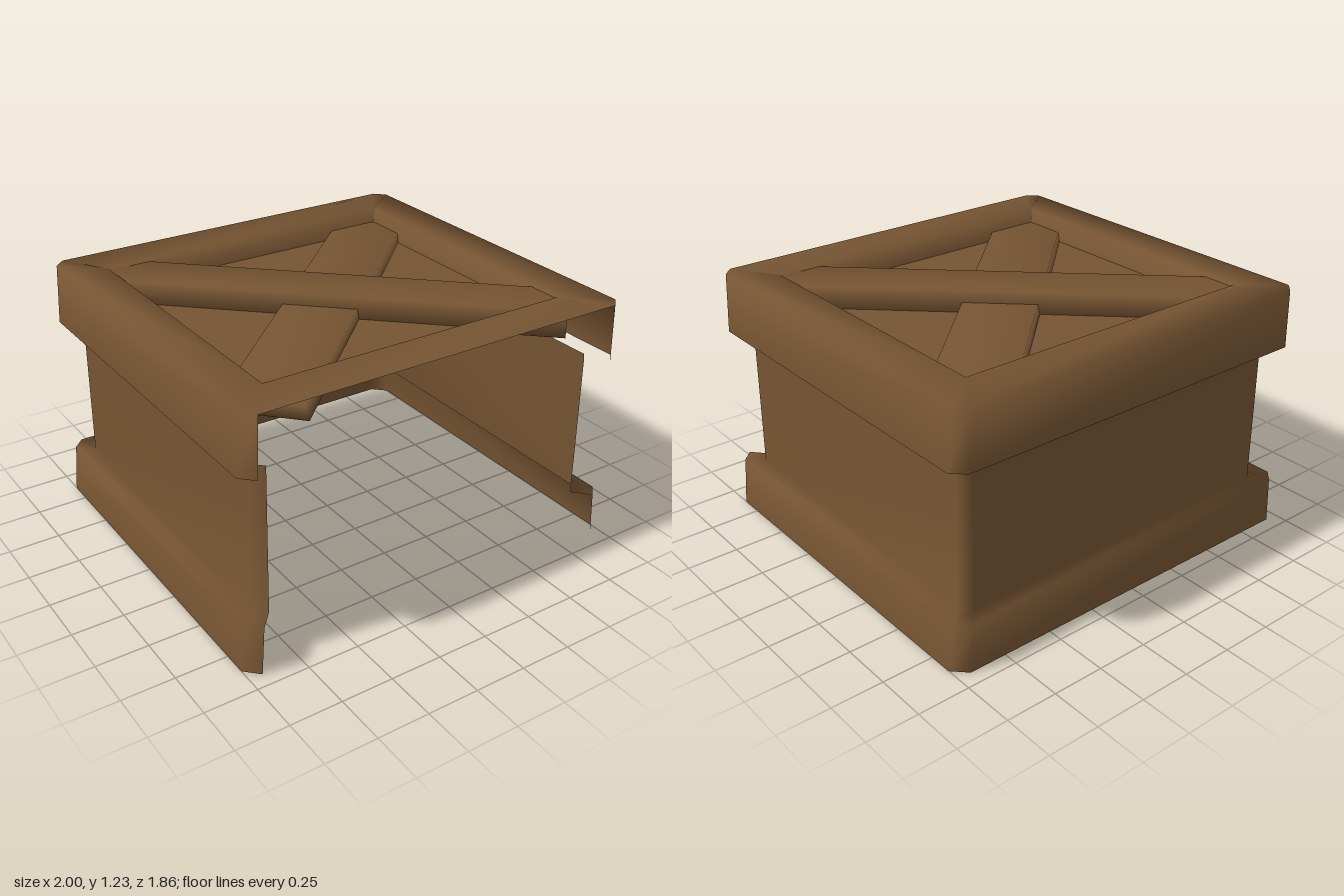
import * as THREE from 'three';
import { mergeVertices } from 'three/addons/utils/BufferGeometryUtils.js';

const wood = new THREE.MeshStandardMaterial({ color: 0x755432, side: THREE.DoubleSide });
wood.name = 'brown wood';

// Rectangle with cut corners, starting at the front and running round the +x side
function ring(hx, hz, cut) {
  const a = hx - cut, b = hz - cut;
  return [[a, hz], [hx, b], [hx, -b], [a, -hz], [-a, -hz], [-hx, -b], [-hx, b], [-a, hz]];
}

// Smooth skin between rings; a row marked closed also spans the front
function shell(name, rows) {
  const pos = [], idx = [];
  rows.forEach(({ hx, hz, y, cut }) =>
    ring(hx, hz, cut).forEach(([x, z]) => pos.push(x, y, z)));
  for (let r = 0; r < rows.length - 1; r++) {
    const sides = rows[r].closed ? 8 : 7;
    for (let k = 0; k < sides; k++) {
      const a = r * 8 + k, b = r * 8 + (k + 1) % 8;
      idx.push(a, b, b + 8, a, b + 8, a + 8);
    }
  }
  const geo = new THREE.BufferGeometry();
  geo.setAttribute('position', new THREE.Float32BufferAttribute(pos, 3));
  geo.setIndex(idx);
  geo.computeVertexNormals();
  const mesh = new THREE.Mesh(geo, wood);
  mesh.name = name;
  return mesh;
}

// Thin diagonal plank, narrower on top, with square ends tucked under the rim
function plank(name, side, top, topHalf, bottomHalf) {
  const bottom = 1.11;
  let geo = new THREE.BoxGeometry(2.2, top - bottom, 2);
  const p = geo.attributes.position;
  for (let i = 0; i < p.count; i++) p.setZ(i, p.getZ(i) * (p.getY(i) > 0 ? topHalf : bottomHalf));
  geo.deleteAttribute('uv');
  geo.deleteAttribute('normal');
  geo = mergeVertices(geo);
  geo.computeVertexNormals();
  const mesh = new THREE.Mesh(geo, wood);
  mesh.name = name;
  mesh.rotation.y = -side * Math.atan2(1.17, 1.24);
  mesh.position.y = (top + bottom) / 2;
  return mesh;
}

export function createModel() {
  const group = new THREE.Group();
  group.name = 'openCrate';

  // Base trim, its ledge and the walls, open at the front
  group.add(shell('wallsAndBaseTrim', [
    { hx: 1.0, hz: 0.93, y: 0, cut: 0.065 },
    { hx: 0.975, hz: 0.93, y: 0.235, cut: 0.055 },
    { hx: 0.9, hz: 0.85, y: 0.235, cut: 0.05 },
    { hx: 0.895, hz: 0.85, y: 0.945, cut: 0.05 },
  ]));

  // Top trim, open at the front; its flat rim and inner bevel run all round
  group.add(shell('topTrim', [
    { hx: 0.99, hz: 0.93, y: 0.945, cut: 0.06 },
    { hx: 0.97, hz: 0.93, y: 1.23, cut: 0.05, closed: true },
    { hx: 0.775, hz: 0.715, y: 1.228, cut: 0.004, closed: true },
    { hx: 0.738, hz: 0.68, y: 1.13, cut: 0.004 , closed: true },
  ]));

  // Sunken lid panel
  const panel = new THREE.Mesh(new THREE.PlaneGeometry(1.5, 1.37), wood);
  panel.name = 'lidPanel';
  panel.rotation.x = -Math.PI / 2;
  panel.position.y = 1.128;
  group.add(panel);

  // Crossed planks on the lid
  group.add(plank('upperPlank', 1, 1.22, 0.133, 0.17));
  group.add(plank('lowerPlank', -1, 1.17, 0.173, 0.19));

  return group;
}
